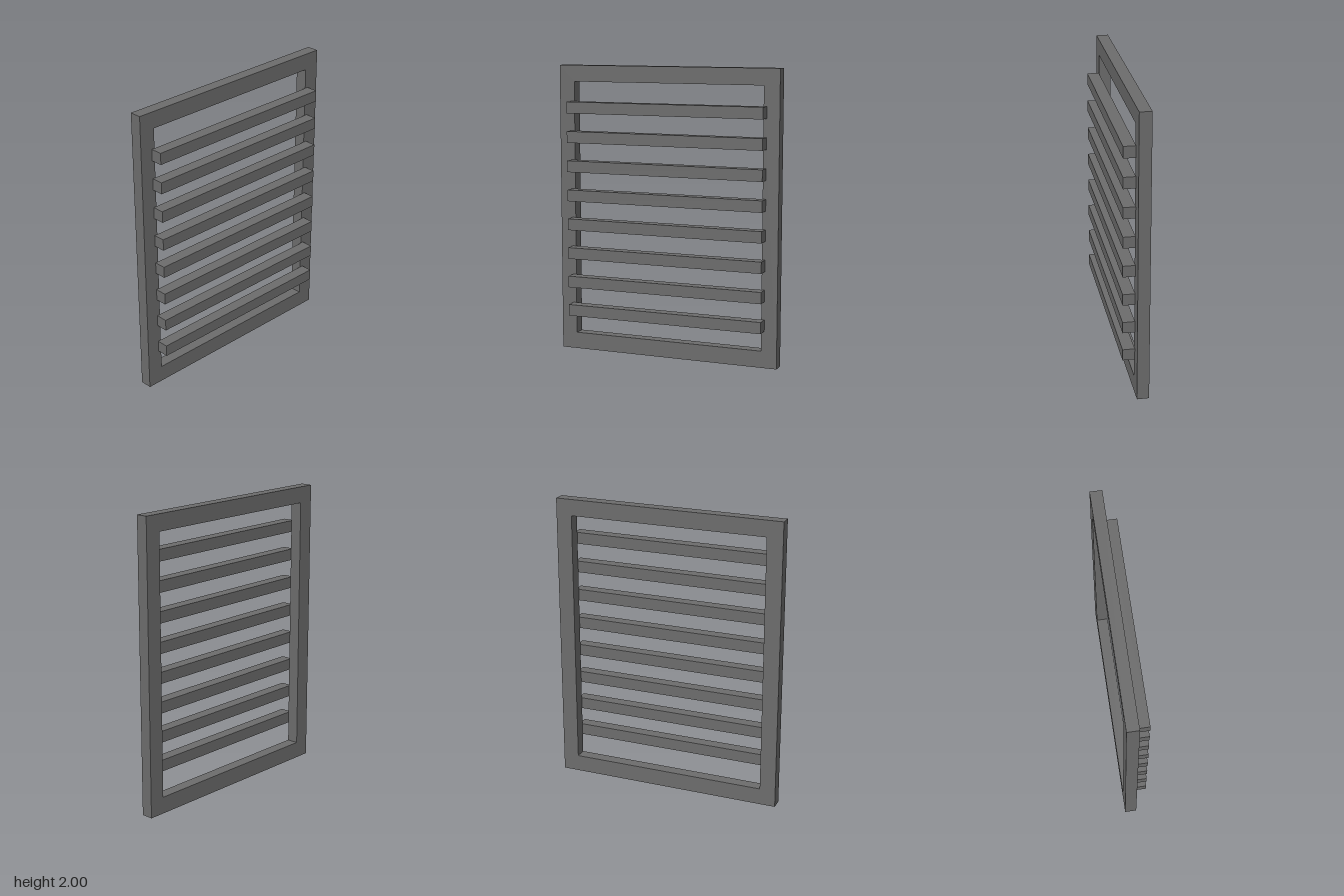
import * as THREE from 'three';

export function createModel() {
  const model = new THREE.Group();
  model.name = 'slattedPanel';
  const darkGrey = new THREE.MeshStandardMaterial({ color: 0x6c6c6c });
  darkGrey.name = 'darkGrey';

  const depth = 0.081;

  // Rectangular frame with an open centre, behind z = 0
  const outline = new THREE.Shape([
    new THREE.Vector2(-0.795, 0), new THREE.Vector2(0.795, 0),
    new THREE.Vector2(0.795, 2), new THREE.Vector2(-0.795, 2),
  ]);
  outline.holes.push(new THREE.Path([
    new THREE.Vector2(-0.685, 0.115), new THREE.Vector2(-0.685, 1.888),
    new THREE.Vector2(0.685, 1.888), new THREE.Vector2(0.685, 0.115),
  ]));
  const frame = new THREE.Mesh(
    new THREE.ExtrudeGeometry(outline, { depth, bevelEnabled: false }), darkGrey);
  frame.name = 'frame';
  frame.position.z = -depth;
  model.add(frame);

  // Evenly spaced slats fixed to the front of the frame
  const slats = new THREE.Group();
  slats.name = 'slats';
  const slatGeometry = new THREE.BoxGeometry(1.414, 0.079, depth);
  for (let i = 0; i < 8; i++) {
    const slat = new THREE.Mesh(slatGeometry, darkGrey);
    slat.name = `slat${i + 1}`;
    slat.position.set(0, 0.292 + i * 0.203, depth / 2);
    slats.add(slat);
  }
  model.add(slats);

  return model;
}
